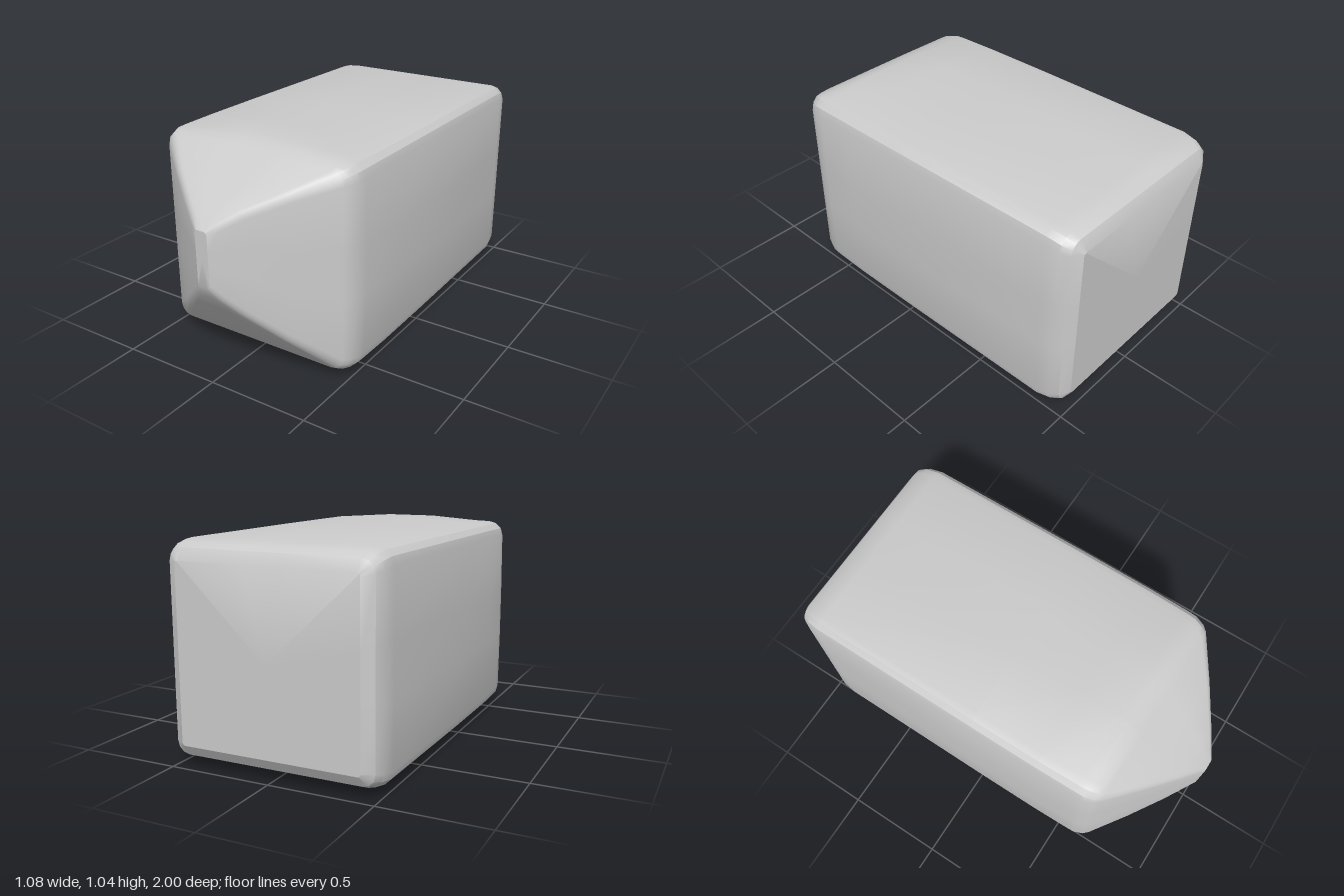
import * as THREE from 'three';
import { toCreasedNormals } from 'three/addons/utils/BufferGeometryUtils.js';

// Cross-sections from nose to back:
// z, left x, right x, bottom y, top y, corner radius, side bulge, top/bottom bulge
const SECTIONS = [
  [1.0, -0.045, 0.02, 0.48, 0.745, 0.015, 0, 0],
  [0.97, -0.088, 0.065, 0.42, 0.78, 0.03, 0, 0],
  [0.91, -0.175, 0.15, 0.335, 0.835, 0.035, 0, 0],
  [0.80, -0.32, 0.305, 0.2, 0.91, 0.04, 0, 0],
  [0.67, -0.48, 0.48, 0.05, 0.995, 0.06, 0, 0],
  [0.645, -0.503, 0.5, 0.035, 1.01, 0.07, 0, 0.002],
  [0.60, -0.52, 0.517, 0.025, 1.02, 0.075, 0.003, 0.01],
  [0.55, -0.522, 0.52, 0.023, 1.022, 0.075, 0.007, 0.022],
  [0.35, -0.525, 0.522, 0.023, 1.022, 0.07, 0.016, 0.02],
  [0.0, -0.525, 0.522, 0.024, 1.023, 0.07, 0.016, 0.014],
  [-0.86, -0.52, 0.518, 0.03, 1.023, 0.07, 0.003, 0.002],
  [-0.93, -0.512, 0.508, 0.042, 1.01, 0.07, 0, 0],
  [-0.97, -0.492, 0.488, 0.06, 0.99, 0.06, 0, 0],
  [-1.0, -0.44, 0.44, 0.11, 0.935, 0.015, 0, 0],
];
const CORNER_STEPS = 3;

// Rounded rectangle with slightly bulging sides, counter-clockwise seen from the front
function ring([z, x0, x1, y0, y1, r, bulgeX, bulgeY]) {
  const cx = (x0 + x1) / 2, cy = (y0 + y1) / 2;
  const hw = (x1 - x0) / 2, hh = (y1 - y0) / 2;
  const points = [];
  for (let q = 0; q < 4; q++) {
    const sx = q === 0 || q === 3 ? 1 : -1;
    const sy = q < 2 ? 1 : -1;
    for (let i = 0; i <= CORNER_STEPS; i++) {
      const a = (q + i / CORNER_STEPS) * Math.PI / 2;
      points.push(new THREE.Vector3(
        cx + sx * (hw - r) + r * Math.cos(a),
        cy + sy * (hh - r) + r * Math.sin(a), z));
    }
    // Two points across the middle of the following side
    for (const t of [0.25, -0.25]) {
      const side = [
        [hw * t, hh + bulgeY], [-hw - bulgeX, hh * t],
        [-hw * t, -hh - bulgeY], [hw + bulgeX, -hh * t],
      ][q];
      points.push(new THREE.Vector3(cx + side[0], cy + side[1], z));
    }
  }
  return points;
}

// Skin over the rings, closed by a fan at each end
function loft(sections) {
  const rings = sections.map(ring);
  const n = rings[0].length;
  const positions = [];
  const tri = (...corners) => corners.forEach((p) => positions.push(p.x, p.y, p.z));
  for (let s = 0; s < rings.length - 1; s++) {
    for (let i = 0; i < n; i++) {
      const j = (i + 1) % n;
      const a = rings[s][i], b = rings[s][j], c = rings[s + 1][j], d = rings[s + 1][i];
      tri(a, d, c);
      tri(a, c, b);
    }
  }
  const middle = (points) => points
    .reduce((sum, p) => sum.add(p), new THREE.Vector3()).divideScalar(n);
  const first = rings[0], last = rings[rings.length - 1];
  const front = middle(first), back = middle(last);
  for (let i = 0; i < n; i++) {
    const j = (i + 1) % n;
    tri(front, first[i], first[j]);
    tri(back, last[j], last[i]);
  }
  const geometry = new THREE.BufferGeometry();
  geometry.setAttribute('position', new THREE.Float32BufferAttribute(positions, 3));
  return toCreasedNormals(geometry, 0.5);
}

export function createModel() {
  const group = new THREE.Group();
  group.name = 'wedgeNosedBlock';
  // Worn block body with its wedge-shaped nose
  const body = new THREE.Mesh(
    loft(SECTIONS),
    new THREE.MeshStandardMaterial({ color: 0xcccccc }));
  body.name = 'body';
  group.add(body);
  return group;
}
